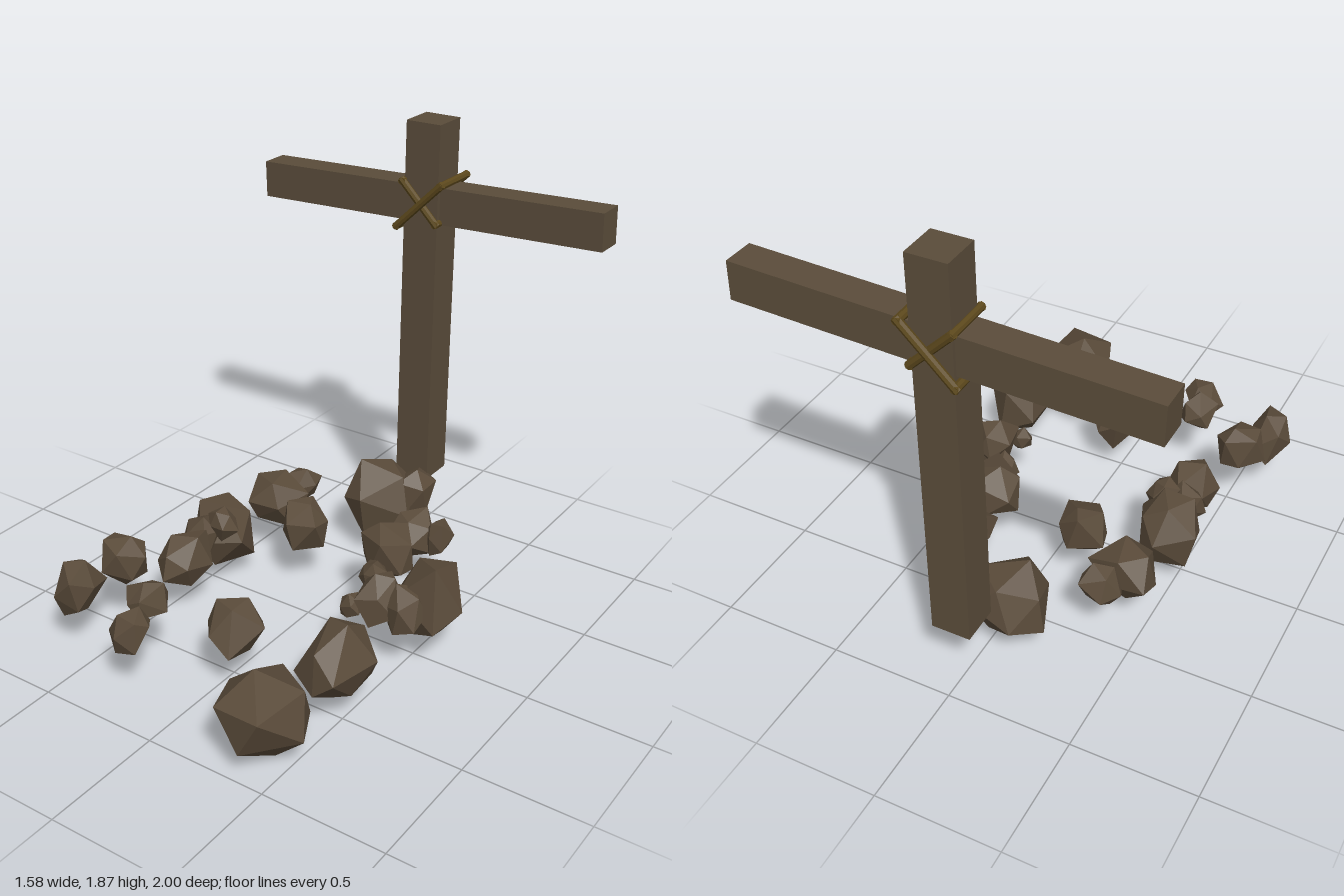
import * as THREE from 'three';
import { mergeVertices } from 'three/addons/utils/BufferGeometryUtils.js';

const mat = (name, color) => {
  const m = new THREE.MeshStandardMaterial({ color, flatShading: true });
  m.name = name;
  return m;
};

// Seeded random numbers
function seeded(seed) {
  let s = seed * 7919 + 17;
  return () => (s = (s * 16807) % 2147483647) / 2147483647;
}

// Jittered icosahedron, turned and fitted to a box of the given half sizes
function rockGeometry(seed, hx, hy, hz) {
  const rnd = seeded(seed);
  for (let i = 0; i < 5; i++) rnd();
  let geo = new THREE.IcosahedronGeometry(1, 0);
  geo.deleteAttribute('normal');
  geo.deleteAttribute('uv');
  geo = mergeVertices(geo);
  const p = geo.attributes.position;
  const v = new THREE.Vector3();
  for (let i = 0; i < p.count; i++) {
    v.fromBufferAttribute(p, i);
    v.x += (rnd() - 0.5) * 0.4;
    v.y += (rnd() - 0.5) * 0.4;
    v.z += (rnd() - 0.5) * 0.4;
    p.setXYZ(i, v.x, v.y, v.z);
  }
  geo.rotateX(rnd() * 6.28).rotateY(rnd() * 6.28).rotateZ(rnd() * 6.28);
  geo.center();
  const b = geo.boundingBox.getSize(new THREE.Vector3());
  geo.scale(2 * hx / b.x, 2 * hy / b.y, 2 * hz / b.z);
  geo.computeVertexNormals();
  return geo;
}

// Rectangular loop of rope in the local xz plane
function ropeLoop(name, halfX, halfZ, radius, material) {
  const loop = new THREE.Group();
  loop.name = name;
  for (const s of [-1, 1]) {
    const along = new THREE.Mesh(new THREE.CylinderGeometry(radius, radius, 2 * (halfX + radius * 0.7), 8), material);
    along.rotation.z = Math.PI / 2;
    along.position.z = s * halfZ;
    const across = new THREE.Mesh(new THREE.CylinderGeometry(radius, radius, 2 * (halfZ + radius * 0.7), 8), material);
    across.rotation.x = Math.PI / 2;
    across.position.x = s * halfX;
    along.name = across.name = 'ropeStrand';
    loop.add(along, across);
  }
  return loop;
}

export function createModel() {
  const model = new THREE.Group();
  model.name = 'graveMarker';
  const wood = mat('wood', 0x5a4c3a);
  const stone = mat('stone', 0x5a4b3a);
  const rope = mat('rope', 0x5c481c);

  // Wooden cross
  const post = new THREE.Mesh(new THREE.BoxGeometry(0.156, 1.58, 0.156), wood);
  post.name = 'post';
  post.position.set(0, 1.09, -0.88);
  const beam = new THREE.Mesh(new THREE.BoxGeometry(1.58, 0.154, 0.125), wood);
  beam.name = 'crossbeam';
  beam.position.set(0, 1.54, -0.882);
  beam.rotation.z = 0.035;
  model.add(post, beam);

  // Crossed rope lashing
  const outer = ropeLoop('outerRope', 0.14, 0.103, 0.016, rope);
  outer.position.set(0.003, 1.542, -0.88);
  outer.rotation.z = Math.PI / 4;
  const inner = ropeLoop('innerRope', 0.112, 0.088, 0.016, rope);
  inner.position.set(-0.003, 1.552, -0.88);
  inner.rotation.z = -Math.PI / 4;
  model.add(outer, inner);

  // Ring of stones: centre x, y, z, then half sizes
  const front = [
    [0.385, 0.19, 0.81, 0.175, 0.18, 0.19],
    [0.48, 0.245, 0.495, 0.123, 0.175, 0.155],
    [0.035, 0.24, 0.525, 0.12, 0.12, 0.115],
    [-0.555, 0.31, 0.495, 0.105, 0.11, 0.088],
    [-0.62, 0.265, 0.67, 0.086, 0.115, 0.108],
    [-0.295, 0.31, 0.64, 0.08, 0.085, 0.088],
    [-0.265, 0.265, 0.785, 0.085, 0.085, 0.083],
  ];
  const left = [
    [0.25, 0.3, -0.19, 0.117, 0.12, 0.112],
    [0.285, 0.29, -0.045, 0.056, 0.055, 0.056],
    [0.55, 0.28, -0.06, 0.138, 0.17, 0.153],
    [0.405, 0.28, 0.1, 0.09, 0.11, 0.098],
    [0.51, 0.27, 0.095, 0.077, 0.1, 0.08],
    [0.325, 0.27, 0.175, 0.047, 0.05, 0.043],
    [0.245, 0.27, -0.415, 0.09, 0.1, 0.105],
    [0.35, 0.28, -0.445, 0.06, 0.075, 0.07],
  ];
  const right = [
    [-0.435, 0.245, 0.255, 0.103, 0.11, 0.132],
    [-0.45, 0.25, -0.025, 0.142, 0.14, 0.155],
    [-0.385, 0.33, 0.06, 0.07, 0.065, 0.06],
    [-0.47, 0.28, 0.105, 0.078, 0.09, 0.06],
    [-0.165, 0.27, -0.2, 0.102, 0.1, 0.098],
    [-0.4, 0.26, -0.333, 0.13, 0.11, 0.113],
    [-0.37, 0.285, -0.465, 0.082, 0.085, 0.08],
  ];
  const back = [
    [-0.067, 0.258, -0.637, 0.162, 0.16, 0.16],
    [0.055, 0.265, -0.735, 0.075, 0.115, 0.1],
  ];
  let seed = 1;
  for (const [name, list] of Object.entries({ front, left, right, back })) {
    const group = new THREE.Group();
    group.name = name + 'Stones';
    for (const [x, y, z, hx, hy, hz] of list) {
      const rock = new THREE.Mesh(rockGeometry(seed++, hx, hy, hz), stone);
      rock.name = 'stone';
      rock.position.set(x, y, z);
      group.add(rock);
    }
    model.add(group);
  }
  return model;
}
